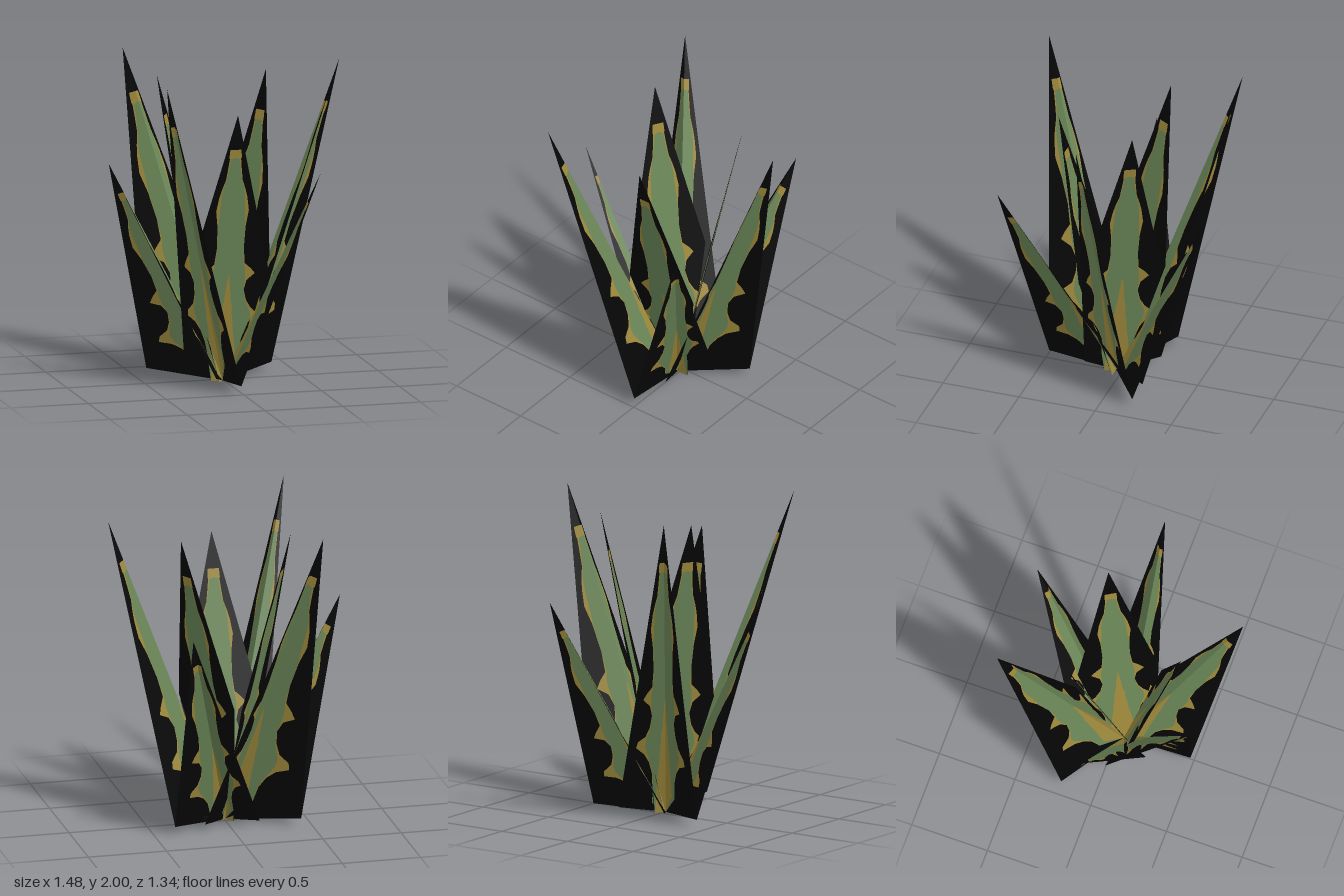
import * as THREE from 'three';

const paint = (name, color) => {
  const m = new THREE.MeshStandardMaterial({ color, side: THREE.DoubleSide });
  m.name = name;
  return m;
};

// Root point shared by all leaves
const ROOT = new THREE.Vector3(-0.01, 0, 0.04);

// Leaf markings from root (t = 0) to tip (t = 1), as fractions of the half width:
// [t, end of gold core, end of green, end of gold fringe]; the rest is black
const MARKS = [
  [0, 0.26, 0.3, 0.3], [0.08, 0.2, 0.28, 0.28], [0.14, 0.16, 0.28, 0.29],
  [0.18, 0.13, 0.33, 0.35], [0.21, 0.12, 0.39, 0.45], [0.235, 0.1, 0.42, 0.62],
  [0.255, 0.09, 0.41, 0.58], [0.27, 0.09, 0.38, 0.42], [0.3, 0.06, 0.31, 0.33],
  [0.34, 0.04, 0.28, 0.28], [0.375, 0.02, 0.29, 0.32], [0.4, 0, 0.29, 0.46],
  [0.42, 0, 0.28, 0.38], [0.44, 0, 0.25, 0.27], [0.5, 0, 0.24, 0.24],
  [0.58, 0, 0.24, 0.25], [0.64, 0, 0.22, 0.29], [0.69, 0, 0.21, 0.25],
  [0.72, 0, 0.19, 0.21], [0.755, 0, 0.14, 0.15], [0.8, 0, 0.1, 0.12],
  [0.835, 0, 0.08, 0.1], [0.84, 0, 0, 0.11], [0.87, 0, 0, 0.1],
  [0.8701, 0, 0, 0], [1, 0, 0, 0],
];

function marksAt(t) {
  const i = Math.max(1, MARKS.findIndex((m) => m[0] >= t));
  const a = MARKS[i - 1], b = MARKS[i];
  const k = (t - a[0]) / (b[0] - a[0]);
  return a.map((v, j) => v + (b[j] - v) * k);
}

// One leaf: two halves meeting at the midrib, each split into colour bands.
// rootWidth is the half width at the root, markScale widens the markings.
function makeLeaf(name, tip, corners, materials, rootWidth = 0, markScale = 1) {
  const rib = tip.clone().sub(ROOT);
  const bands = [[], [], []]; // gold, green, black
  corners.forEach((corner, side) => {
    const across = corner.clone().sub(ROOT);
    const tc = across.dot(rib) / rib.lengthSq();
    across.addScaledVector(rib, -tc);
    const point = (t, v) => ROOT.clone().addScaledVector(rib, t).addScaledVector(across, v);

    const stations = [...MARKS.map((m) => m[0]), tc].sort((a, b) => a - b);
    const rows = stations.map((t) => {
      const edge = t < tc ? rootWidth + (1 - rootWidth) * t / tc : (1 - t) / (1 - tc);
      const limits = marksAt(t).slice(1).map((v) => Math.min(v * markScale, edge));
      return [0, ...limits, edge].map((v) => point(t, v));
    });
    const triangle = (list, a, b, c) => {
      const area = b.clone().sub(a).cross(c.clone().sub(a)).length();
      if (area < 1e-7) return;
      for (const p of side ? [a, c, b] : [a, b, c]) list.push(p.x, p.y, p.z);
    };
    for (let i = 0; i + 1 < rows.length; i++) {
      [0, 1, 0, 2].forEach((colour, j) => {
        const p = rows[i], q = rows[i + 1];
        triangle(bands[colour], p[j], p[j + 1], q[j + 1]);
        triangle(bands[colour], p[j], q[j + 1], q[j]);
      });
    }
  });

  const geometry = new THREE.BufferGeometry();
  geometry.setAttribute('position', new THREE.Float32BufferAttribute(bands.flat(), 3));
  let start = 0;
  bands.forEach((band, i) => {
    geometry.addGroup(start, band.length / 3, i);
    start += band.length / 3;
  });
  geometry.computeVertexNormals();
  const mesh = new THREE.Mesh(geometry, materials);
  mesh.name = name;
  return mesh;
}

export function createModel() {
  const plant = new THREE.Group();
  plant.name = 'spikyPlant';
  const materials = [
    paint('gold', 0x9f8a3c),
    paint('leafGreen', 0x6b8758),
    paint('black', 0x060606),
  ];
  const V = (x, y, z) => new THREE.Vector3(x, y, z);

  // Outer folded leaves: a tall and a short one share each low corner
  const low = [V(0.37, 0.05, -0.2), V(-0.01, 0.05, 0.48), V(-0.43, 0.05, -0.22)];
  const outer = [
    ['tallLeafLeft', V(0.74, 2, 0.04), low[0], V(0.04, 0.05, 0.23)],
    ['tallLeafFront', V(-0.54, 2, 0.67), low[1], V(-0.24, 0.05, 0)],
    ['tallLeafBack', V(-0.47, 2, -0.63), low[2], V(0.18, 0.05, -0.2)],
    ['shortLeafBack', V(0.37, 1.41, -0.67), V(-0.17, 0.05, -0.2), low[0]],
    ['shortLeafFront', V(0.45, 1.41, 0.66), V(0.16, 0.05, -0.1), low[1]],
    ['shortLeafRight', V(-0.74, 1.41, 0.03), V(-0.1, 0.05, 0.22), low[2]],
  ];
  for (const [name, tip, a, b] of outer) plant.add(makeLeaf(name, tip, [a, b], materials));

  // Inner flat leaves, a third of a turn apart, widest near the middle
  const inner = [
    ['innerLeafFront', V(-0.015, 1.755, 0.42), 0],
    ['innerLeafBackLeft', V(0.33, 1.91, -0.185), Math.PI * 2 / 3],
    ['innerLeafBackRight', V(-0.37, 1.91, -0.195), Math.PI * 4 / 3],
  ];
  for (const [name, tip, turn] of inner) {
    const sideways = V(0.25, 0, 0).applyAxisAngle(V(0, 1, 0), turn);
    const middle = ROOT.clone().lerp(tip, 0.42);
    const corners = [middle.clone().add(sideways), middle.clone().sub(sideways)];
    plant.add(makeLeaf(name, tip, corners, materials, 0.3, 1.45));
  }
  return plant;
}
